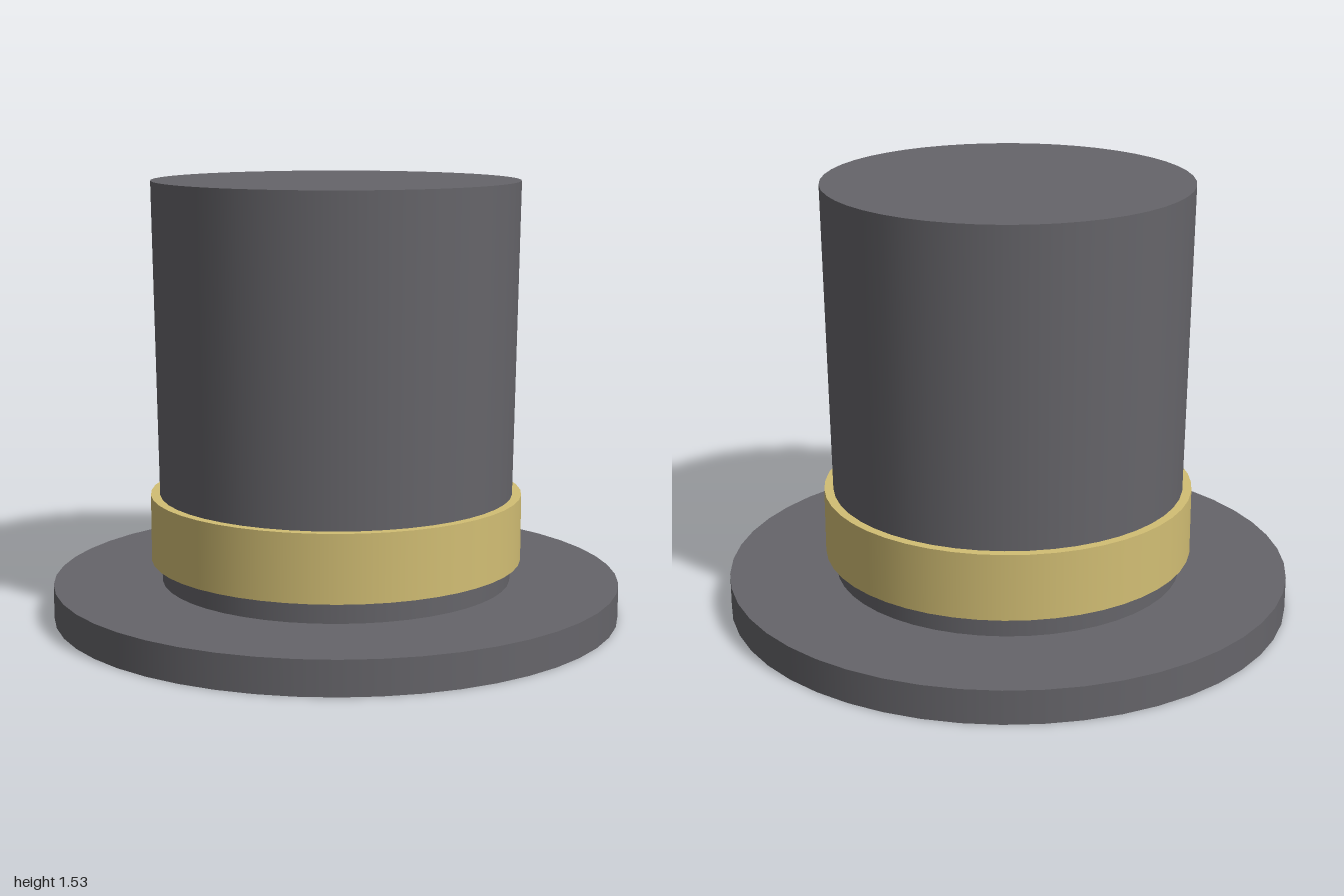
import * as THREE from 'three';

const SEGMENTS = 48;

export function createModel() {
  const hat = new THREE.Group();
  hat.name = 'topHat';
  const felt = new THREE.MeshStandardMaterial({ color: 0x66656a });
  const gold = new THREE.MeshStandardMaterial({ color: 0xd2be74 });

  // Upright round part running from y0 to y1
  function addRound(name, bottomRadius, topRadius, y0, y1, material) {
    const geometry = new THREE.CylinderGeometry(topRadius, bottomRadius, y1 - y0, SEGMENTS);
    const mesh = new THREE.Mesh(geometry, material);
    mesh.name = name;
    mesh.position.y = (y0 + y1) / 2;
    hat.add(mesh);
  }

  // Flat disc brim
  addRound('brim', 1, 1, 0, 0.12, felt);
  // Crown, flaring slightly towards the top
  addRound('crown', 0.618, 0.64, 0.12, 1.527, felt);
  // Ribbon band around the foot of the crown
  addRound('band', 0.655, 0.655, 0.195, 0.43, gold);

  return hat;
}
